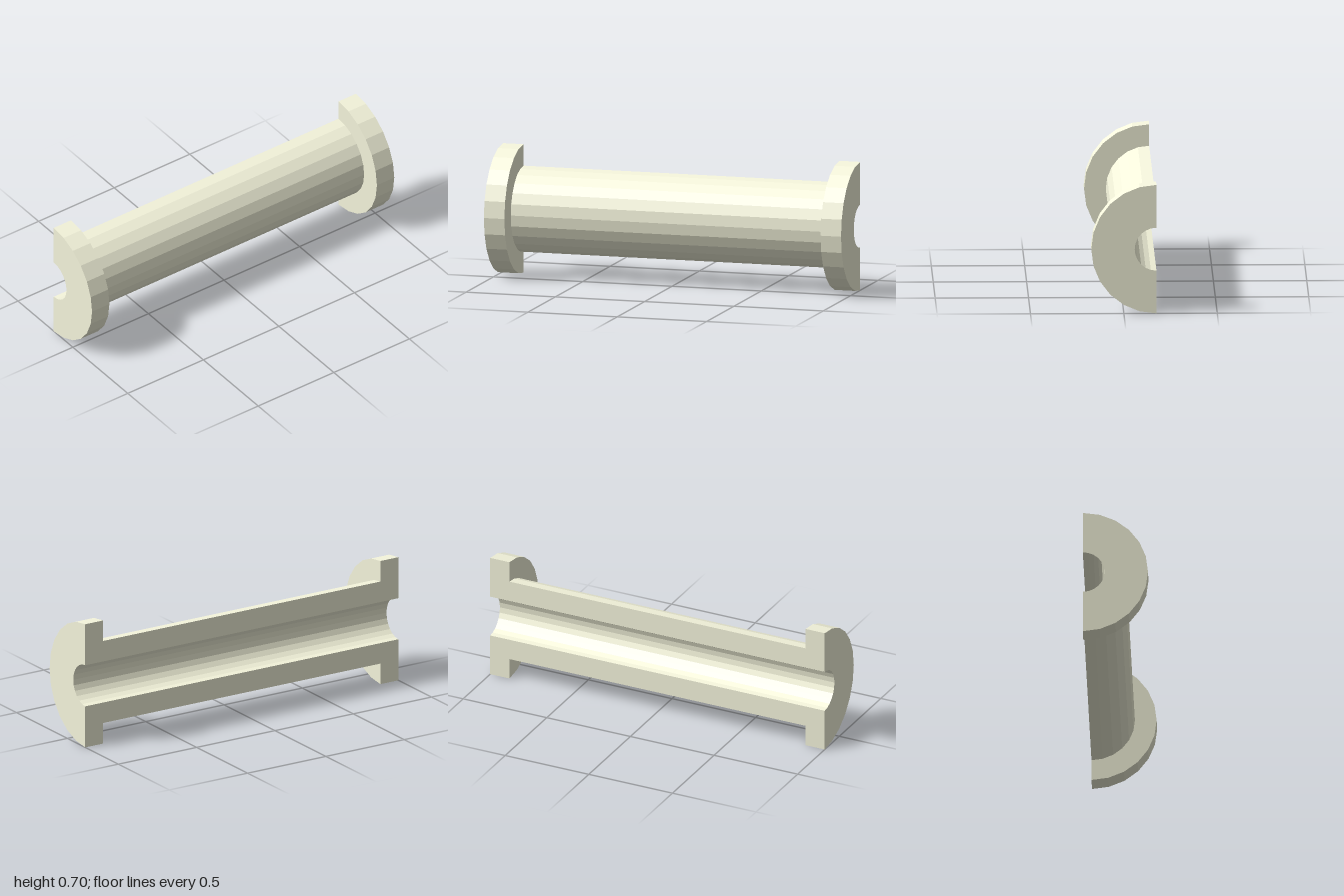
import * as THREE from 'three';

// Half of a hollow spool, split lengthwise along its axis
const BORE = 0.1165, BARREL = 0.2325, FLANGE = 0.349;
const END = 1, SHOULDER = 0.885, SIDES = 12;

export function createModel() {
  const group = new THREE.Group();
  group.name = 'halfSpool';
  const material = new THREE.MeshStandardMaterial({ color: 0xf5f5dc, flatShading: true });

  // Wall section as (radius, position along the axis)
  const section = [
    [BORE, -END], [FLANGE, -END], [FLANGE, -SHOULDER], [BARREL, -SHOULDER],
    [BARREL, SHOULDER], [FLANGE, SHOULDER], [FLANGE, END], [BORE, END],
  ].map(([r, a]) => new THREE.Vector2(r, a));

  // Barrel, flanges and bore: the closed section swept through half a turn
  const shell = new THREE.LatheGeometry([...section, section[0].clone()], SIDES, -Math.PI / 2, Math.PI);
  shell.rotateZ(-Math.PI / 2);
  const body = new THREE.Mesh(shell, material);
  body.name = 'spoolBody';
  group.add(body);

  // Flat cut faces above and below the bore, facing backwards
  for (const side of [1, -1]) {
    const shape = new THREE.Shape(section.map((p) => new THREE.Vector2(p.y, p.x * side)));
    const face = new THREE.Mesh(new THREE.ShapeGeometry(shape).rotateX(Math.PI), material);
    face.name = side > 0 ? 'lowerCutFace' : 'upperCutFace';
    group.add(face);
  }

  // Stand on the ground, centred in depth
  for (const part of group.children) part.position.set(0, FLANGE, -FLANGE / 2);
  return group;
}
